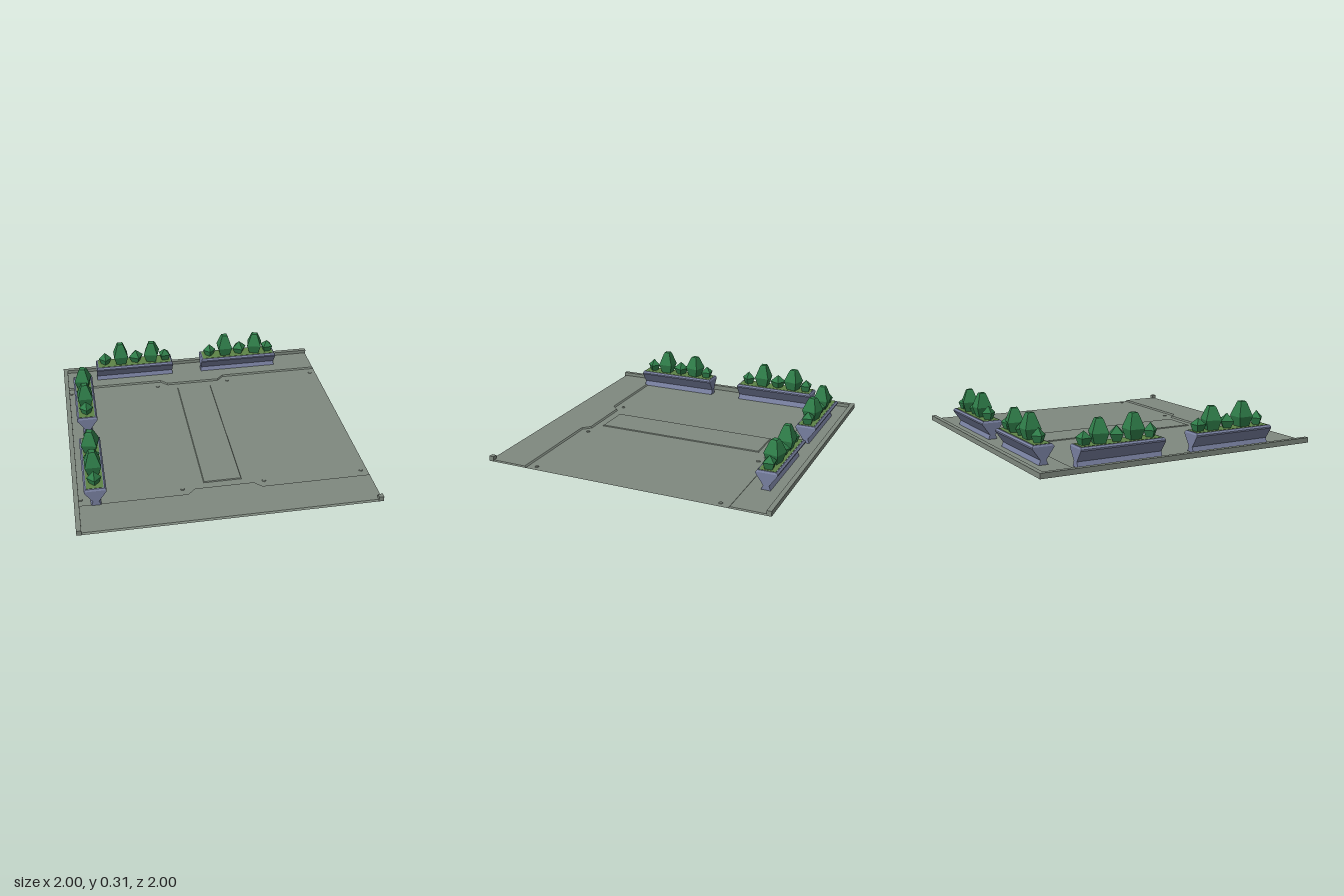
import * as THREE from 'three';

const mat = (name, color, side = THREE.FrontSide) => {
  const m = new THREE.MeshStandardMaterial({ color, side });
  m.name = name;
  return m;
};

// Hard facets without shared normals
const faceted = (g) => {
  const f = g.index ? g.toNonIndexed() : g;
  f.computeVertexNormals();
  return f;
};

export function createModel() {
  const root = new THREE.Group();
  root.name = 'plantedFloorTile';
  const stone = mat('stone grey', 0x7f897f);
  const sheet = mat('floor grey', 0x7f897f, THREE.DoubleSide);
  const planterBlue = mat('planter slate blue', 0x7880a0);
  const soilGreen = mat('moss green', 0x5e8447);
  const leafGreen = mat('leaf green', 0x2f7d49);

  const add = (parent, name, geometry, material, x = 0, y = 0, z = 0) => {
    const m = new THREE.Mesh(geometry, material);
    m.name = name;
    m.position.set(x, y, z);
    parent.add(m);
    return m;
  };
  // Box given by its limits
  const block = (name, x0, x1, y0, y1, z0, z1) =>
    add(root, name, new THREE.BoxGeometry(x1 - x0, y1 - y0, z1 - z0), stone,
      (x0 + x1) / 2, (y0 + y1) / 2, (z0 + z1) / 2);

  // Floor sheet: raised front and back bands, with a jogged step to a lower middle
  const columns = [-1, -0.25, -0.2, 0.2, 0.25, 0.995, 1];
  const rows = [ // z, y, jog towards the middle
    [-1, 0.01, 0], [-0.733, 0.01, 0.05], [-0.724, 0, 0.05],
    [0.715, 0, -0.05], [0.724, 0.01, -0.05], [0.99, 0.01, 0], [1, 0, 0],
  ];
  const floor = new THREE.PlaneGeometry(2, 2, columns.length - 1, rows.length - 1);
  rows.forEach(([z, y, jog], r) => columns.forEach((x, c) => {
    const inner = Math.abs(x) <= 0.2;
    floor.attributes.position.setXYZ(r * columns.length + c, x, x === 1 ? 0 : y, z + (inner ? jog : 0));
  }));
  add(root, 'floor', faceted(floor), sheet);

  // Raised walkway strip with sloping edges
  const strip = new THREE.BoxGeometry(0.26, 0.006, 1.22);
  const sp = strip.attributes.position;
  for (let i = 0; i < sp.count; i++) {
    if (sp.getY(i) > 0) sp.setXYZ(i, sp.getX(i) * 0.97, sp.getY(i), sp.getZ(i) * 0.992);
  }
  add(root, 'walkwayStrip', faceted(strip), stone, 0, 0.0035, 0);

  // Rims on two edges and a post on the opposite corner
  block('backRim', -1, 1, 0, 0.035, -1, -0.968);
  block('rightRim', -1, -0.968, 0, 0.035, -0.968, 1);
  block('cornerPost', 0.967, 1, 0, 0.035, 0.967, 1);

  // Floor bolts
  const boltGeo = faceted(new THREE.CylinderGeometry(0.011, 0.014, 0.005, 8));
  for (const z of [-0.66, 0.655]) {
    for (const x of [-0.955, -0.28, 0.275, 0.955]) add(root, 'bolt', boltGeo, stone, x, 0.003, z);
  }

  // Planter body: hourglass section along its length
  const half = [[0.034, 0.004], [0.02, 0.04], [0.073, 0.115], [0.073, 0.124]];
  const section = new THREE.Shape([
    ...half.map(([w, y]) => new THREE.Vector2(w, y)),
    ...half.slice().reverse().map(([w, y]) => new THREE.Vector2(-w, y)),
  ]);
  const bodyGeo = new THREE.ExtrudeGeometry(section, { depth: 0.6, bevelEnabled: false });
  bodyGeo.translate(0, 0, -0.3).rotateY(Math.PI / 2);
  const lipGeo = new THREE.BoxGeometry(0.6, 0.012, 0.146);
  const lp = lipGeo.attributes.position;
  for (let i = 0; i < lp.count; i++) {
    if (lp.getY(i) > 0) lp.setXYZ(i, lp.getX(i) * 0.975, lp.getY(i), lp.getZ(i) * 0.86);
  }
  const lip = faceted(lipGeo);
  const soilGeo = new THREE.BoxGeometry(0.57, 0.004, 0.112);

  // Four-sided shrubs: profile of [corner radius, height]
  const shrub = (profile) => faceted(new THREE.LatheGeometry(
    profile.map(([r, y]) => new THREE.Vector2(r, y)), 4));
  const small = shrub([[0.028, 0.13], [0.05, 0.183], [0, 0.232]]);
  const wide = shrub([[0.03, 0.13], [0.06, 0.185], [0, 0.236]]);
  const tall = shrub([[0.048, 0.13], [0.076, 0.205], [0.038, 0.288], [0.028, 0.305], [0, 0.305]]);
  const leaning = shrub([[0.048, 0.13], [0.076, 0.205], [0.038, 0.282], [0.028, 0.295], [0, 0.295]]);
  const tiny = shrub([[0.032, 0.13], [0.052, 0.182], [0, 0.225]]);
  const shrubs = [ // geometry, place along planter, turn
    [small, -0.228, 0], [tall, -0.105, Math.PI / 4], [wide, 0.015, 0.3],
    [leaning, 0.14, Math.PI / 4 - 0.25], [tiny, 0.243, Math.PI / 4 + 0.1],
  ];

  const planter = (x, z, turn) => {
    const g = new THREE.Group();
    g.name = 'planter';
    add(g, 'planterBody', bodyGeo, planterBlue);
    add(g, 'planterLip', lip, planterBlue, 0, 0.13, 0);
    add(g, 'soil', soilGeo, soilGreen, 0, 0.136, 0);
    for (const [geo, at, spin] of shrubs) add(g, 'shrub', geo, leafGreen, at).rotation.y = spin;
    g.position.set(x, 0, z);
    g.rotation.y = turn;
    root.add(g);
  };
  for (const x of [-0.44, 0.393]) planter(x, -0.857, 0);
  for (const z of [-0.4, 0.434]) planter(-0.857, z, Math.PI / 2);

  return root;
}
